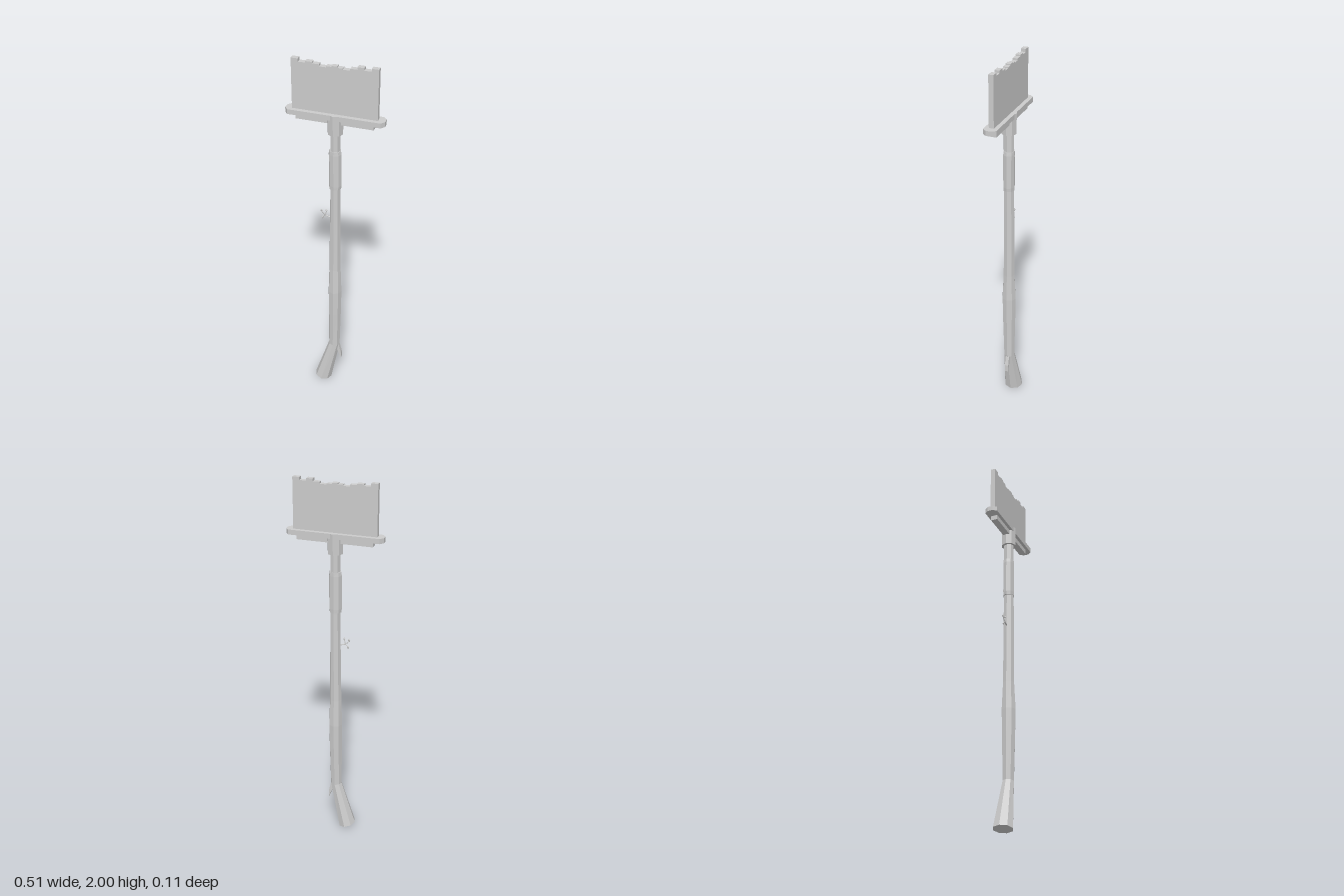
import * as THREE from 'three';

const grey = new THREE.MeshStandardMaterial({ color: 0xcccccc, flatShading: true, side: THREE.DoubleSide });

function add(group, name, geometry, x = 0, y = 0, z = 0) {
  const mesh = new THREE.Mesh(geometry, grey);
  mesh.name = name;
  mesh.position.set(x, y, z);
  group.add(mesh);
  return mesh;
}

// Capped tube from rings: [centre x, y, radius x, radius z, slope of the ring]
function loft(rings, sides) {
  const pos = [], idx = [], last = (rings.length - 1) * sides;
  for (const [cx, cy, rx, rz, slope] of rings) {
    for (let j = 0; j < sides; j++) {
      const a = (j / sides) * Math.PI * 2, dx = rx * Math.cos(a);
      pos.push(cx + dx, cy + dx * slope, rz * Math.sin(a));
    }
  }
  for (let i = 0; i < rings.length - 1; i++) {
    for (let j = 0; j < sides; j++) {
      const k = (j + 1) % sides, a = i * sides + j, b = i * sides + k;
      idx.push(a, a + sides, b, b, a + sides, b + sides);
    }
  }
  for (let j = 1; j < sides - 1; j++) {
    idx.push(0, j, j + 1, last, last + j + 1, last + j);
  }
  const g = new THREE.BufferGeometry();
  g.setAttribute('position', new THREE.Float32BufferAttribute(pos, 3));
  g.setIndex(idx);
  const flat = g.toNonIndexed();
  flat.computeVertexNormals();
  return flat;
}

function extrude(points, depth) {
  const shape = new THREE.Shape(points.map(([x, y]) => new THREE.Vector2(x, y)));
  return new THREE.ExtrudeGeometry(shape, { depth, bevelEnabled: false });
}

// Thin stick between two points in the x-y plane
function stick(group, name, [x0, y0], [x1, y1], r0, r1) {
  const dx = x1 - x0, dy = y1 - y0;
  const mesh = add(group, name, new THREE.CylinderGeometry(r1, r0, Math.hypot(dx, dy), 5),
    (x0 + x1) / 2, (y0 + y1) / 2);
  mesh.rotation.z = Math.atan2(-dx, dy);
}

export function createModel() {
  const model = new THREE.Group();
  model.name = 'broom';

  // Crooked wooden handle, swelling in the middle and flaring at the foot
  add(model, 'handle', loft([
    [-0.071, 0.015, 0.046, 0.053, -0.22],
    [-0.006, 0.27, 0.031, 0.030, -0.1],
    [-0.003, 0.5, 0.035, 0.036, 0],
    [-0.002, 0.65, 0.037, 0.039, 0],
    [-0.002, 0.8, 0.032, 0.031, 0],
    [0, 1.3, 0.027, 0.029, 0],
    [0, 1.7, 0.026, 0.028, 0],
  ], 8));

  // Grip wrapped round the upper handle
  add(model, 'grip', loft([
    [-0.001, 1.31, 0.032, 0.030, 0],
    [-0.001, 1.33, 0.034, 0.031, 0],
    [-0.001, 1.51, 0.034, 0.031, 0],
    [-0.001, 1.53, 0.031, 0.030, 0],
  ], 8));

  // Splinter peeling away near the foot
  add(model, 'splinter', extrude([[0.012, 0.29], [0.024, 0.26], [0.036, 0.21], [0.036, 0.17], [0.014, 0.23]], 0.02), 0, 0, -0.01);

  // Twig with three small leaf buds
  const twig = new THREE.Group();
  twig.name = 'twig';
  model.add(twig);
  const fork = [-0.055, 1.132];
  stick(twig, 'stem', [-0.02, 1.122], fork, 0.004, 0.003);
  for (const tip of [[-0.05, 1.155], [-0.076, 1.152], [-0.07, 1.12]]) {
    stick(twig, 'sprig', fork, tip, 0.003, 0.002);
    add(twig, 'bud', new THREE.OctahedronGeometry(0.009), tip[0], tip[1] + (tip[1] > 1.13 ? 0.006 : -0.004)).scale.set(0.75, 1.1, 0.6);
  }

  // Socket and head
  add(model, 'socket', new THREE.CylinderGeometry(0.042, 0.04, 0.11, 8), 0, 1.68);
  const plate = extrude([
    [-0.255, -0.014], [-0.238, -0.035], [0.238, -0.035], [0.255, -0.014],
    [0.255, 0.014], [0.238, 0.035], [-0.238, 0.035], [-0.255, 0.014],
  ], 0.026);
  plate.rotateX(-Math.PI / 2);
  add(model, 'headPlate', plate, 0, 1.709);
  add(model, 'underStrip', new THREE.BoxGeometry(0.4, 0.03, 0.036), 0, 1.698);

  // Bristle block with a worn, stepped top edge
  const edges = [-0.22, -0.184, -0.148, -0.113, -0.078, -0.042, -0.016, 0.013, 0.04, 0.077, 0.112, 0.146, 0.182, 0.218];
  const tops = [2, 1.984, 1.992, 1.985, 1.975, 1.981, 1.986, 1.98, 1.975, 1.985, 1.998, 1.985, 2];
  const outline = [[-0.22, 1.72]];
  tops.forEach((y, i) => outline.push([edges[i], y], [edges[i + 1], y]));
  outline.push([0.218, 1.72]);
  add(model, 'bristles', extrude(outline, 0.026), 0, 0, -0.013);

  return model;
}
